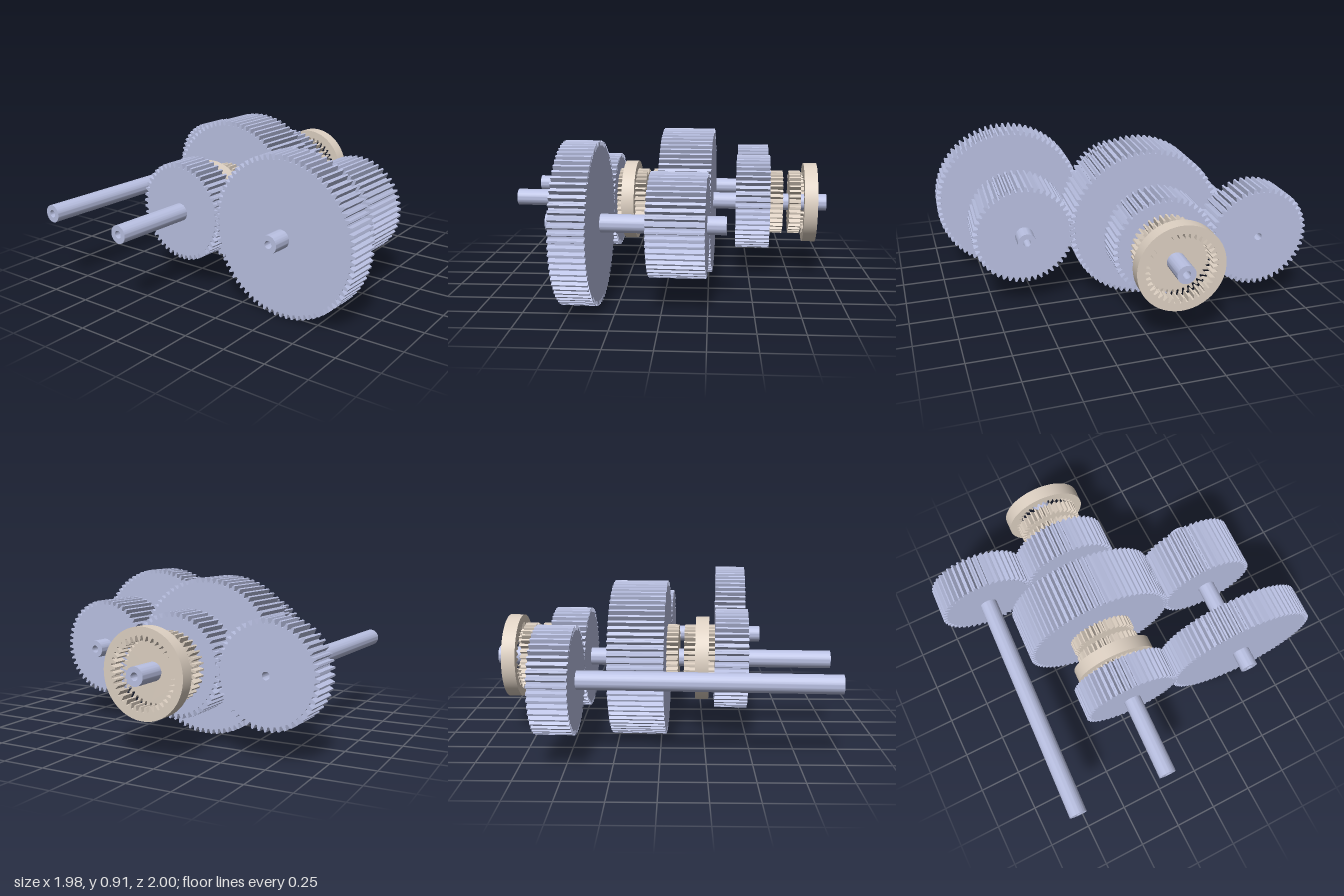
import * as THREE from 'three';
import { toCreasedNormals } from 'three/addons/utils/BufferGeometryUtils.js';

const steel = new THREE.MeshStandardMaterial({ color: 0xb9c0e2 });
const bronze = new THREE.MeshStandardMaterial({ color: 0xddd0c2 });

const AXIS_Y = 0.46, MAIN_Z = -0.172, LAY_Z = 0.555, IDLER_Z = -0.731;
const SHAFT_R = 0.052, BORE_R = 0.022, HUB_BORE = 0.046;

// Closed toothed outline: each tooth is a tapered trapezoid, phase is in tooth pitches
function toothPoints(count, root, tip, phase = 0, rootHalf = 0.36, tipHalf = 0.14) {
  const pts = [];
  for (let i = 0; i < count; i++) {
    for (const [offset, r] of [[-rootHalf, root], [-tipHalf, tip], [tipHalf, tip], [rootHalf, root]]) {
      const a = ((i + phase + offset) / count) * Math.PI * 2;
      pts.push(new THREE.Vector2(Math.cos(a) * r, Math.sin(a) * r));
    }
  }
  return pts;
}

function circlePoints(r, segments = 40) {
  return new THREE.Path().absarc(0, 0, r, 0, Math.PI * 2).getPoints(segments).slice(0, -1);
}

// Extrudes an outline with a hole along x, from x0 to x1
function part(name, outline, hole, x0, x1, z, material) {
  const shape = new THREE.Shape(outline);
  shape.holes.push(new THREE.Path(hole));
  const geo = new THREE.ExtrudeGeometry(shape, { depth: x1 - x0, bevelEnabled: false });
  geo.rotateY(Math.PI / 2);
  const mesh = new THREE.Mesh(toCreasedNormals(geo, 0.35), material);
  mesh.name = name;
  mesh.position.set(x0, AXIS_Y, z);
  return mesh;
}

const shaft = (name, x0, x1, z) =>
  part(name, circlePoints(SHAFT_R), circlePoints(BORE_R, 24), x0, x1, z, steel);

// Spur gear sized from its tooth count so that all gears share one module
function gear(name, teeth, x0, x1, z, phase, bore = HUB_BORE) {
  const pitch = teeth * 0.01167 / 2;
  return part(name, toothPoints(teeth, pitch - 0.0146, pitch + 0.0125, phase),
    circlePoints(bore, 32), x0, x1, z, steel);
}

const dogRing = (name, x0, x1) =>
  part(name, toothPoints(36, 0.168, 0.197), circlePoints(HUB_BORE, 32), x0, x1, MAIN_Z, bronze);

const sleeve = (name, x0, x1) =>
  part(name, circlePoints(0.246, 72), toothPoints(36, 0.172, 0.2), x0, x1, MAIN_Z, bronze);

export function createModel() {
  const model = new THREE.Group();
  model.name = 'gearbox';

  // Gear train, turned slightly about the vertical axis
  const train = new THREE.Group();
  train.name = 'gearTrain';
  train.rotation.y = -0.043;
  model.add(train);

  // Shafts
  train.add(
    shaft('mainShaft', -0.999, 0.974, MAIN_Z),
    shaft('layShaft', -0.627, 0.374, LAY_Z),
    shaft('idlerShaft', -0.993, 0.415, IDLER_Z),
  );

  // Spur gears
  train.add(
    gear('layLargeGear', 76, -0.513, -0.322, LAY_Z, 0),
    gear('mainInputGear', 48, -0.513, -0.322, MAIN_Z, 0.5),
    gear('mainLargeGear', 76, -0.043, 0.269, MAIN_Z, 0),
    gear('laySmallGear', 48, -0.043, 0.269, LAY_Z, 0.5),
    gear('mainReverseGear', 48, 0.413, 0.62, MAIN_Z, 0.5),
    gear('idlerGear', 48, 0.413, 0.62, IDLER_Z, 0, BORE_R),
  );

  // Dog rings on the gear faces, and the hubs between them
  train.add(
    dogRing('inputDogRing', -0.322, -0.252),
    dogRing('frontHub', -0.216, -0.145),
    dogRing('largeGearDogRing', -0.11, -0.043),
    dogRing('reverseDogRing', 0.62, 0.7),
    dogRing('rearHub', 0.738, 0.807),
  );

  // Sliding sleeves with internal teeth
  train.add(
    sleeve('frontSleeve', -0.287, -0.21),
    sleeve('rearSleeve', 0.825, 0.905),
  );

  return model;
}
